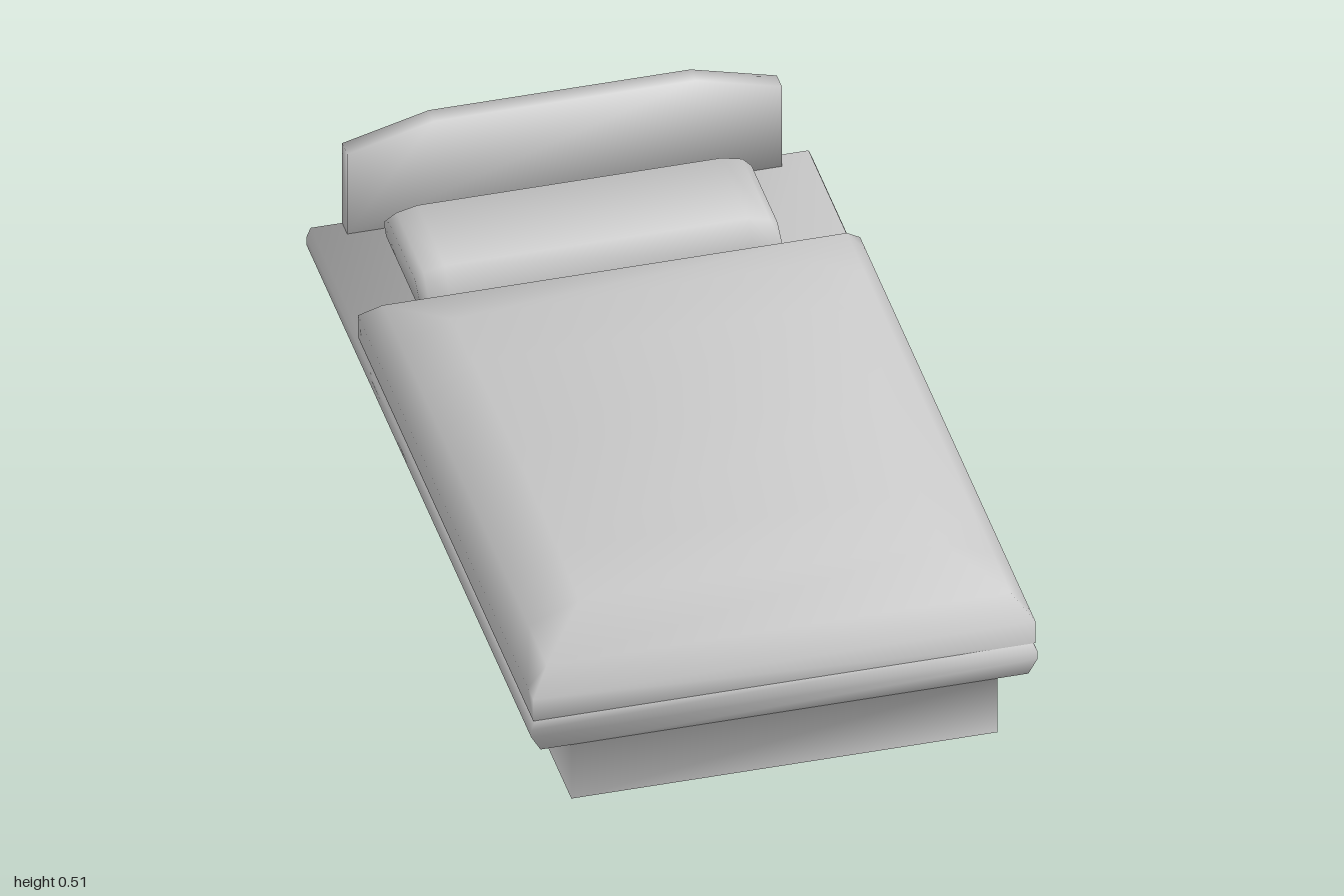
import * as THREE from 'three';
import { toCreasedNormals } from 'three/addons/utils/BufferGeometryUtils.js';

const material = new THREE.MeshStandardMaterial({ color: 0xcccccc, side: THREE.DoubleSide });

// Skin a list of equal-length rings of [x, y, z] points with smooth normals.
// wrap joins the last point to the first; capStart and capEnd fill the end rings.
function loft(rings, { wrap = true, capStart = true, capEnd = true } = {}) {
  const n = rings[0].length, last = (rings.length - 1) * n, index = [];
  for (let i = 0; i < rings.length - 1; i++) {
    for (let j = 0; j < (wrap ? n : n - 1); j++) {
      const a = i * n + j, b = i * n + (j + 1) % n;
      index.push(a, b, b + n, a, b + n, a + n);
    }
  }
  for (let j = 1; j < n - 1; j++) {
    if (capStart) index.push(0, j + 1, j);
    if (capEnd) index.push(last, last + j, last + j + 1);
  }
  const geometry = new THREE.BufferGeometry();
  geometry.setAttribute('position', new THREE.Float32BufferAttribute(rings.flat(2), 3));
  geometry.setIndex(index);
  return toCreasedNormals(geometry, Math.PI);
}

const rectangle = (y, halfX, back, front) => [
  [-halfX, y, front], [halfX, y, front], [halfX, y, back], [-halfX, y, back],
];

// Domed cover: cross-sections along z that step up from the rim, so the corners mitre
function blanketGeometry() {
  const profile = [[0.595, 0.235], [0.595, 0.295], [0.55, 0.35], [0.43, 0.4]];
  // [z, highest profile step reached, extra height of the crown]
  const stations = [
    [-0.56, 1, 0], [-0.51, 2, 0], [-0.35, 3, 0], [-0.16, 3, 0.011], [0.22, 3, 0.022],
    [0.6, 3, 0.011], [0.79, 3, 0], [0.95, 2, 0], [1, 1, 0],
  ];
  const rings = stations.map(([z, top, crown]) => {
    const right = profile.map((_, k) => {
      const [x, y] = profile[Math.min(k, top)];
      return [x, k === 3 ? y + crown : y, z];
    });
    const left = right.map(([x, y]) => [-x, y, z]).reverse();
    return [...right, ...left];
  });
  return loft(rings, { wrap: false });
}

// Soft pillow: one rounded profile, flattened toward both ends
function pillowGeometry() {
  const profile = [
    [-0.9, 0.235], [-0.922, 0.285], [-0.875, 0.345],
    [-0.63, 0.345], [-0.585, 0.285], [-0.605, 0.235],
  ];
  const stations = [
    [-0.43, 0.5, 0.94], [-0.41, 0.8, 1], [-0.36, 1, 1],
    [0.36, 1, 1], [0.41, 0.8, 1], [0.43, 0.5, 0.94],
  ];
  return loft(stations.map(([x, tall, deep]) => profile.map(([z, y]) => [
    x - 0.01, 0.285 + (y - 0.285) * tall, -0.7525 + (z + 0.7525) * deep,
  ])));
}

// Board with sloping shoulders
function headboardGeometry() {
  const outline = [
    [-0.515, 0.235], [0.515, 0.235], [0.515, 0.46], [0.31, 0.515], [-0.31, 0.515], [-0.515, 0.46],
  ];
  return loft([-1, -0.955].map((z) => outline.map(([x, y]) => [x, y, z])));
}

export function createModel() {
  const group = new THREE.Group();
  const add = (name, geometry) => {
    const mesh = new THREE.Mesh(geometry, material);
    mesh.name = name;
    group.add(mesh);
  };

  // One hollow shell, open underneath: plinth walls running on into the overhanging mattress
  add('baseAndMattress', loft([
    rectangle(0, 0.505, -0.92, 1),
    rectangle(0.152, 0.505, -0.92, 1),
    rectangle(0.152, 0.578, -0.96, 1),
    rectangle(0.19, 0.6, -1, 1),
    rectangle(0.21, 0.6, -1, 1),
    rectangle(0.235, 0.59, -1, 1),
  ], { capStart: false }));

  add('blanket', blanketGeometry());
  add('pillow', pillowGeometry());
  add('headboard', headboardGeometry());
  return group;
}
